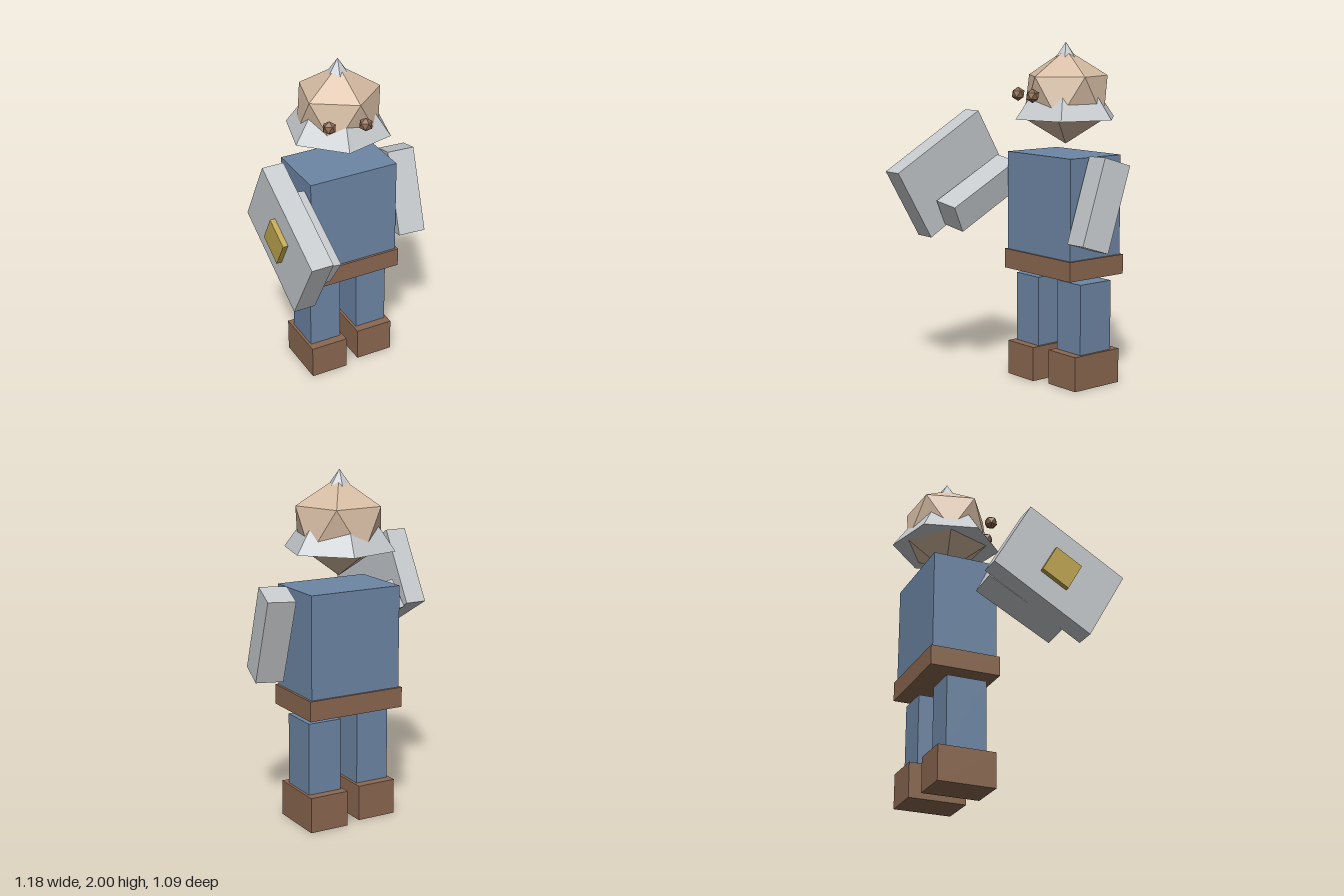
import * as THREE from 'three';

const material = (name, color) => {
  const m = new THREE.MeshStandardMaterial({ color, flatShading: true });
  m.name = name;
  return m;
};

export function createModel() {
  const group = new THREE.Group();
  const blue = material('blueCloth', 0x6d86a5);
  const brown = material('brownLeather', 0x8b6850);
  const skin = material('skin', 0xd6bca3);
  const steel = material('steel', 0xc6cacd);
  const gold = material('gold', 0xbfa650);

  const add = (name, geometry, mat, position, rotation = [0, 0, 0]) => {
    const mesh = new THREE.Mesh(geometry, mat);
    mesh.name = name;
    mesh.position.set(...position);
    mesh.rotation.set(...rotation);
    group.add(mesh);
    return mesh;
  };
  const box = (name, size, mat, position, rotation) =>
    add(name, new THREE.BoxGeometry(...size), mat, position, rotation);

  // Icosahedron standing on one corner
  const gem = (radius) =>
    new THREE.IcosahedronGeometry(radius, 0).rotateX(-Math.atan((1 + Math.sqrt(5)) / 2));

  const turn = [0, -0.11, 0];
  const midX = 0.1, midZ = -0.243;

  // Legs and boots
  for (const [side, s] of [['left', 1], ['right', -1]]) {
    const x = midX + s * 0.167;
    box(side + 'Boot', [0.235, 0.205, 0.342], brown, [x, 0.1025, midZ], turn);
    box(side + 'Leg', [0.202, 0.42, 0.236], blue, [x, 0.41, midZ], turn);
  }

  // Torso and belt
  box('torso', [0.56, 0.655, 0.385], blue, [midX, 1.0275, midZ], turn);
  box('belt', [0.59, 0.115, 0.413], brown, [midX, 0.7125, midZ], turn);

  // Head with a conical helmet that the face pokes through
  add('head', gem(0.274), skin, [0.106, 1.684, -0.253], [0, -0.06, 0]);
  add('helmet', new THREE.ConeGeometry(0.318, 0.44, 6), steel, [0.103, 1.78, -0.254], [0, -0.383, 0]);
  add('rightEye', gem(0.041), brown, [-0.088, 1.7, -0.055], turn);
  add('leftEye', gem(0.041), brown, [0.104, 1.7, 0.024], turn);

  // Arms: the left hangs, the right reaches forward
  const armSize = [0.162, 0.513, 0.175];
  box('leftArm', armSize, steel, [0.476, 1.097, -0.126], [-0.328, -0.27, -0.04]);
  box('rightArm', armSize, steel, [-0.317, 1.108, 0.033], [-1.065, 0.13, -0.102]);

  // Shield with a square boss on its outer face
  const shield = box('shield', [0.128, 0.672, 0.458], steel, [-0.485, 1.222, 0.134], [-1.054, -0.053, -0.091]);
  const boss = new THREE.Mesh(new THREE.BoxGeometry(0.06, 0.18, 0.18), gold);
  boss.name = 'shieldBoss';
  boss.position.x = -0.064;
  shield.add(boss);

  return group;
}
